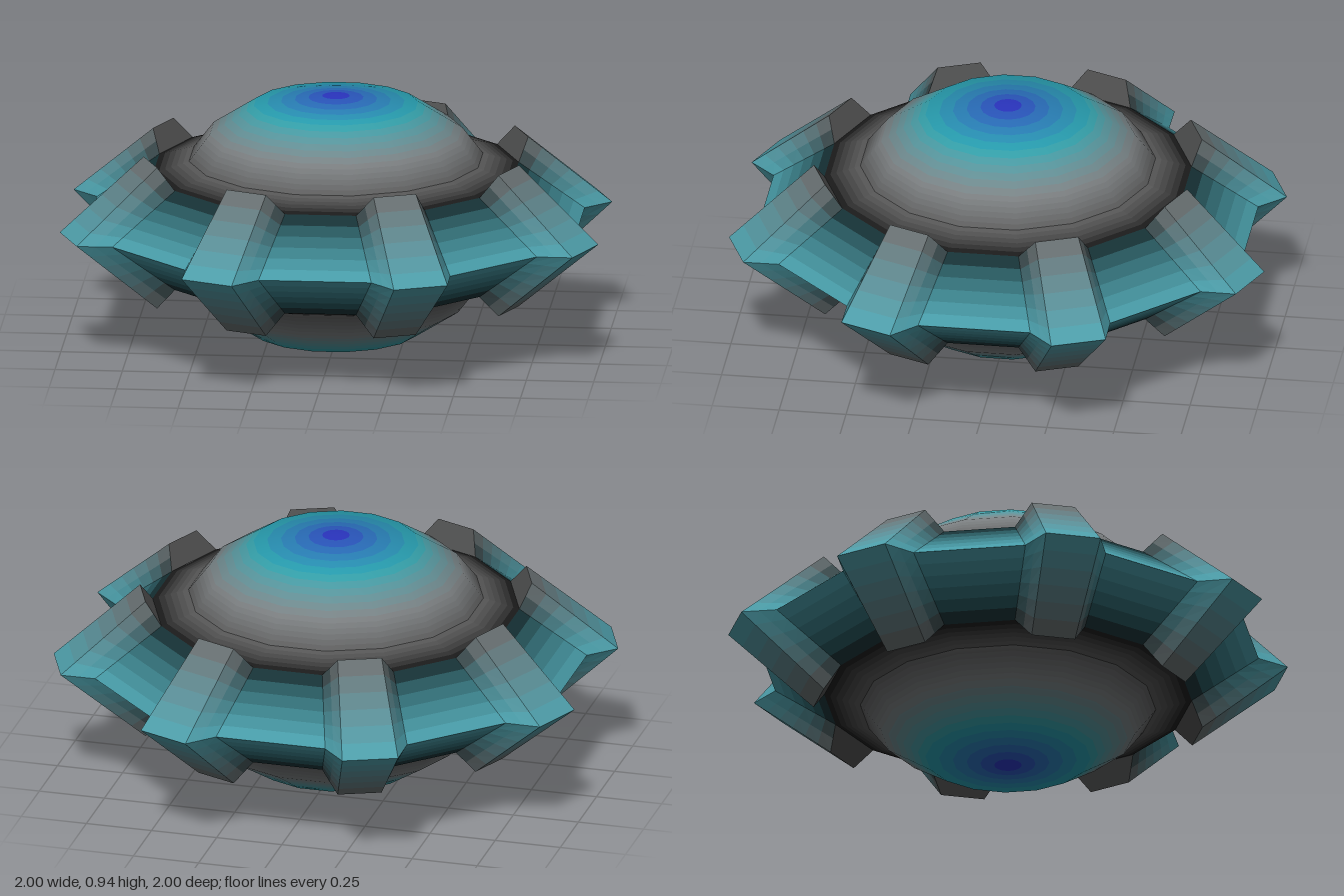
import * as THREE from 'three';

const MID = 0.472;      // height of the equator
const BANDS = 6;        // colour steps across each sloping section
const RAD = Math.PI / 180;
const V = (x, y, z) => new THREE.Vector3(x, y, z);
const mix = (a, b, t) => a.clone().lerp(b, t);
const color = (hex) => new THREE.Color(hex);

// Mesh from outward-facing quads, repeated upside down below the equator.
function mirroredMesh(name, quads, tint, domed = false) {
  const pos = [];
  const flip = (p) => V(p.x, 2 * MID - p.y, p.z);
  const push = (...tri) => tri.forEach((p) => pos.push(p.x, p.y, p.z));
  for (const [a, b, c, d] of quads) {
    push(a, b, c);
    push(...[c, b, a].map(flip));
    if (c.distanceTo(d) > 1e-6) {
      push(a, c, d);
      push(...[d, c, a].map(flip));
    }
  }
  const geo = new THREE.BufferGeometry();
  geo.setAttribute('position', new THREE.Float32BufferAttribute(pos, 3));
  geo.computeVertexNormals();
  if (domed) {
    // smooth ellipsoid normals
    const p = geo.attributes.position;
    for (let i = 0; i < p.count; i++) {
      const n = V(p.getX(i) / 0.39, (p.getY(i) - MID) / 0.22, p.getZ(i) / 0.39).normalize();
      geo.attributes.normal.setXYZ(i, n.x, n.y, n.z);
    }
  }
  const mat = new THREE.MeshStandardMaterial({ color: tint, flatShading: !domed });
  const mesh = new THREE.Mesh(geo, mat);
  mesh.name = name;
  return mesh;
}

// Sixteen-sided body section between a lower and an upper profile row.
function bodySection(name, low, high, domed) {
  const group = new THREE.Group();
  group.name = name;
  const corner = (row, i) => {
    const a = (Math.floor(i / 2) * 45 + (i % 2 ? row.half : -row.half)) * RAD;
    return V(row.r * Math.sin(a), MID + row.h, row.r * Math.cos(a));
  };
  for (let b = 0; b < BANDS; b++) {
    const quads = [];
    for (let i = 0; i < 16; i++) {
      const at = (k, t) => mix(corner(low, k), corner(high, k), t);
      const t0 = b / BANDS, t1 = (b + 1) / BANDS;
      quads.push([at(i, t0), at(i + 1, t0), at(i + 1, t1), at(i, t1)]);
    }
    const tint = mix(color(low.c), color(high.c), (b + 0.5) / BANDS);
    group.add(mirroredMesh(name + 'Band', quads, tint, domed));
  }
  return group;
}

// Eight tapered blocks standing out over the corners of the ring.
function buildBlocks() {
  const group = new THREE.Group();
  group.name = 'rimBlocks';
  const teal = color(0x4aa0ac), grey = color(0x686868), black = color(0x141818);
  const point = (r, h, w, k) => {
    const a = (22.5 + 45 * k) * RAD;
    return V(r * Math.sin(a) + w * Math.cos(a), MID + h, r * Math.cos(a) - w * Math.sin(a));
  };
  const base = (t, s, k) => mix(point(0.667, 0.19, s * 0.133, k), point(0.916, 0, s * 0.153, k), t);
  const crest = (t, s, k) => mix(point(0.72, 0.27, s * 0.082, k), point(1.039, 0, s * 0.104, k), t);

  for (let b = 0; b < BANDS; b++) {
    const t0 = b / BANDS, t1 = (b + 1) / BANDS, tm = (t0 + t1) / 2;
    const faces = [], lowSides = [], highSides = [];
    for (let k = 0; k < 8; k++) {
      faces.push([crest(t1, -1, k), crest(t1, 1, k), crest(t0, 1, k), crest(t0, -1, k)]);
      for (const s of [-1, 1]) {
        const side = (t, u) => mix(base(t, s, k), crest(t, s, k), u);
        const strip = (u0, u1) => {
          const q = [side(t1, u0), side(t0, u0), side(t0, u1), side(t1, u1)];
          return s > 0 ? q : q.reverse();
        };
        lowSides.push(strip(0, 0.5));
        highSides.push(strip(0.5, 1));
      }
    }
    const face = mix(grey, teal, tm), foot = mix(black, teal, tm);
    group.add(mirroredMesh('blockFace', faces, face));
    group.add(mirroredMesh('blockSideLower', lowSides, mix(foot, face, 0.25)));
    group.add(mirroredMesh('blockSideUpper', highSides, mix(foot, face, 0.75)));
  }

  // inner ends facing the dome
  const ends = [];
  for (let k = 0; k < 8; k++) {
    ends.push([base(0, 1, k), base(0, -1, k), crest(0, -1, k), crest(0, 1, k)]);
  }
  group.add(mirroredMesh('blockInnerEnd', ends, mix(black, grey, 0.5)));
  return group;
}

export function createModel() {
  const model = new THREE.Group();
  model.name = 'saucer';
  // profile from the equator to the top: radius, height, half angle of a flat, colour
  const rows = [
    { r: 0.929, h: 0, half: 13, c: 0x4aa0ac },
    { r: 0.68, h: 0.19, half: 11.25, c: 0x080808 },
    { r: 0.547, h: 0.23, half: 11.25, c: 0x5a5a5a },
    { r: 0.47, h: 0.33, half: 11.25, c: 0x7a7e80 },
    { r: 0.306, h: 0.435, half: 11.25, c: 0x26a0aa },
    { r: 0, h: 0.472, half: 11.25, c: 0x2a10c0 },
  ];
  const names = ['outerRing', 'innerRing', 'domeWall', 'domeShoulder', 'domeCap'];
  names.forEach((name, i) => model.add(bodySection(name, rows[i], rows[i + 1], i > 1)));
  model.add(buildBlocks());
  return model;
}
